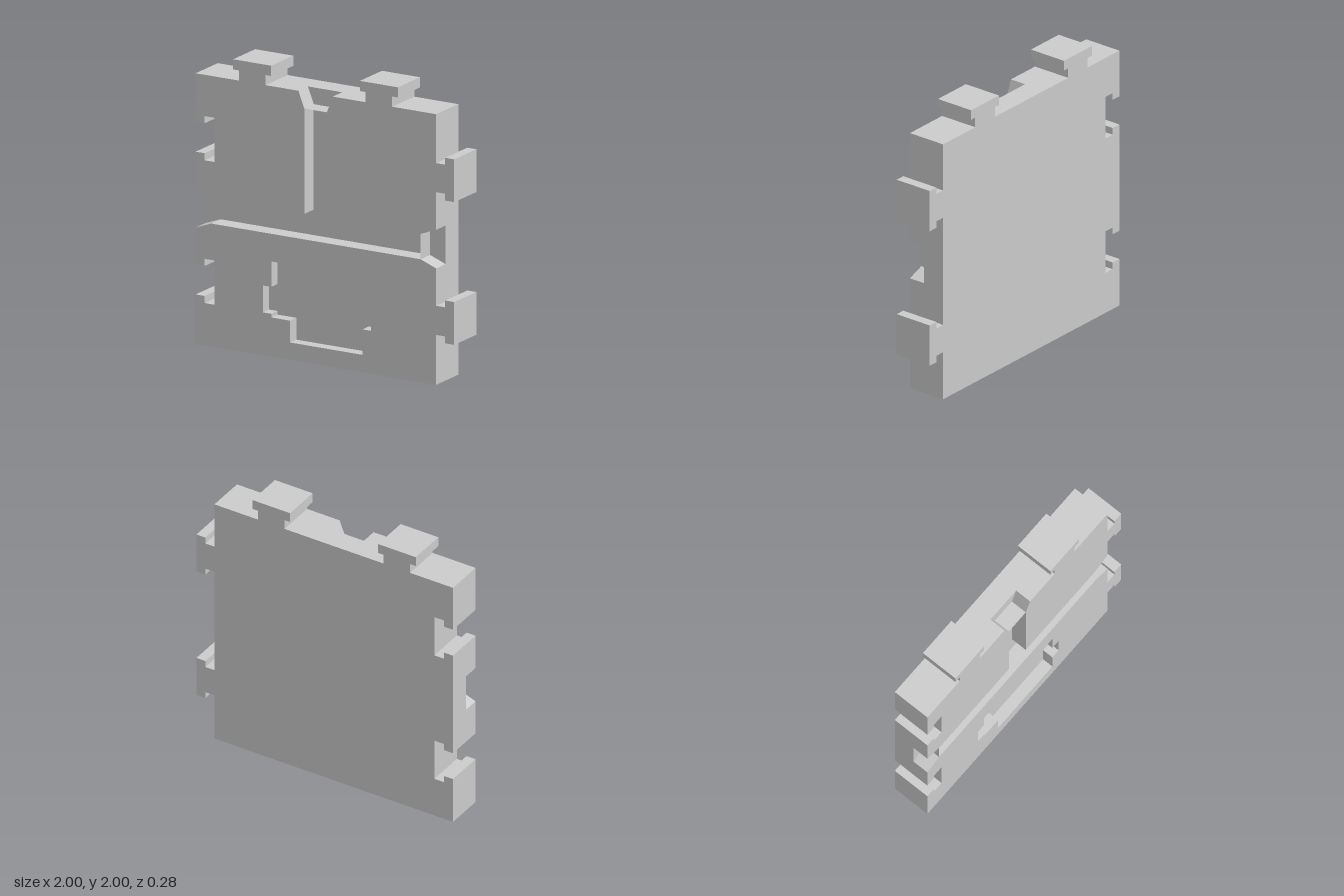
import * as THREE from 'three';
import { mergeGeometries } from 'three/addons/utils/BufferGeometryUtils.js';

const BACK = -0.14, FLOOR = 0.02, FRONT = 0.14, POCKET_FLOOR = 0.06;
const LEFT = -1, RIGHT = 0.86, TOP = 1.86;

// Flat face at depth z, facing front (or back when flipped)
function cap(points, z, { hole = null, flip = false } = {}) {
  const toVectors = (list) => list.map(([x, y]) => new THREE.Vector2(x, y));
  const shape = new THREE.Shape(toVectors(points));
  if (hole) shape.holes.push(new THREE.Path(toVectors(hole)));
  const geometry = new THREE.ShapeGeometry(shape);
  geometry.translate(0, 0, z);
  if (flip) geometry.index.array.reverse();
  const flat = geometry.toNonIndexed();
  flat.deleteAttribute('uv');
  flat.computeVertexNormals();
  return flat;
}

// Side faces along a path; a counter-clockwise outline faces outward
function wall(points, z0, z1, closed = true) {
  const positions = [];
  const count = closed ? points.length : points.length - 1;
  for (let i = 0; i < count; i++) {
    const [ax, ay] = points[i];
    const [bx, by] = points[(i + 1) % points.length];
    positions.push(ax, ay, z0, bx, by, z0, bx, by, z1, ax, ay, z0, bx, by, z1, ax, ay, z1);
  }
  const geometry = new THREE.BufferGeometry();
  geometry.setAttribute('position', new THREE.Float32BufferAttribute(positions, 3));
  geometry.computeVertexNormals();
  return geometry;
}

// T-shaped connector on the right edge, going up
const rightTab = (c) => [
  [RIGHT, c - 0.1], [0.93, c - 0.1], [0.93, c - 0.147], [1, c - 0.147],
  [1, c + 0.147], [0.93, c + 0.147], [0.93, c + 0.1], [RIGHT, c + 0.1],
];

// T-shaped connector on the top edge, going left
const topTab = (c) => [
  [c + 0.103, TOP], [c + 0.103, 1.93], [c + 0.147, 1.93], [c + 0.147, 2],
  [c - 0.147, 2], [c - 0.147, 1.93], [c - 0.103, 1.93], [c - 0.103, TOP],
];

// Matching T-shaped socket in the left edge, going down
const leftSocket = (c) => [
  [LEFT, c + 0.103], [-0.93, c + 0.103], [-0.93, c + 0.152], [-0.855, c + 0.152],
  [-0.855, c - 0.152], [-0.93, c - 0.152], [-0.93, c - 0.103], [LEFT, c - 0.103],
];

export function createModel() {
  const group = new THREE.Group();
  const material = new THREE.MeshStandardMaterial({ color: 0xcccccc, flatShading: true });
  const add = (name, geometries) => {
    const mesh = new THREE.Mesh(mergeGeometries(geometries), material);
    mesh.name = name;
    group.add(mesh);
  };

  const lowY = 0.443, highY = 1.424, tabLeftX = -0.563, tabRightX = 0.417;

  // Back half of the tile with all connectors
  const outline = [
    [LEFT, 0], [RIGHT, 0], ...rightTab(lowY), ...rightTab(highY),
    [RIGHT, TOP], ...topTab(tabRightX), ...topTab(tabLeftX),
    [LEFT, TOP], ...leftSocket(highY), ...leftSocket(lowY),
  ];
  add('backSlab', [cap(outline, BACK, { flip: true }), wall(outline, BACK, FLOOR)]);

  // Floor of the T-shaped channel, flared at its three ends
  const leftEnd = [[LEFT, 1.065], [-0.88, 1.02], [-0.88, 0.845], [LEFT, 0.8]];
  const rightEnd = [[RIGHT, 0.8], [0.74, 0.845], [0.74, 1.02], [RIGHT, 1.065]];
  const topEnd = [[0.06, TOP], [0.015, 1.745], [-0.16, 1.745], [-0.205, TOP]];
  add('channelFloor', [cap([
    leftEnd[3], leftEnd[2], rightEnd[1], rightEnd[0], rightEnd[3], rightEnd[2],
    [0.015, 1.02], topEnd[1], topEnd[0], topEnd[3], topEnd[2], [-0.16, 1.02],
    leftEnd[1], leftEnd[0],
  ], FLOOR)]);

  // Thin faces that close the channel where the flares begin
  add('channelEndFaces', [leftEnd, rightEnd, topEnd].map(
    (end) => wall([end[1], end[2]], FLOOR, FRONT, false)));

  // Raised lower plate with a stepped pocket
  const pocket = [
    [-0.27, 0.12], [0.29, 0.12], [0.29, 0.295], [0.355, 0.295], [0.355, 0.48],
    [0.29, 0.48], [0.29, 0.655], [-0.415, 0.655], [-0.415, 0.48], [-0.48, 0.48],
    [-0.48, 0.295], [-0.415, 0.295], [-0.415, 0.27], [-0.27, 0.27],
  ];
  const lower = [
    [LEFT, 0], [RIGHT, 0], ...rightTab(lowY), rightEnd[0], rightEnd[1],
    leftEnd[2], leftEnd[3], ...leftSocket(lowY),
  ];
  add('lowerPlate', [cap(lower, FRONT, { hole: pocket }), wall(lower, FLOOR, FRONT)]);
  add('pocket', [
    cap(pocket, POCKET_FLOOR),
    wall([...pocket].reverse(), POCKET_FLOOR, FRONT),
  ]);

  // Raised upper plates on both sides of the vertical channel
  const upperPlates = {
    upperRightPlate: [
      leftEnd[0], leftEnd[1], [-0.16, 1.02], topEnd[2], topEnd[3],
      ...topTab(tabLeftX), [LEFT, TOP], ...leftSocket(highY),
    ],
    upperLeftPlate: [
      [0.015, 1.02], rightEnd[2], rightEnd[3], ...rightTab(highY), [RIGHT, TOP],
      ...topTab(tabRightX), topEnd[0], topEnd[1],
    ],
  };
  for (const [name, plate] of Object.entries(upperPlates)) {
    add(name, [cap(plate, FRONT), wall(plate, FLOOR, FRONT)]);
  }

  return group;
}
